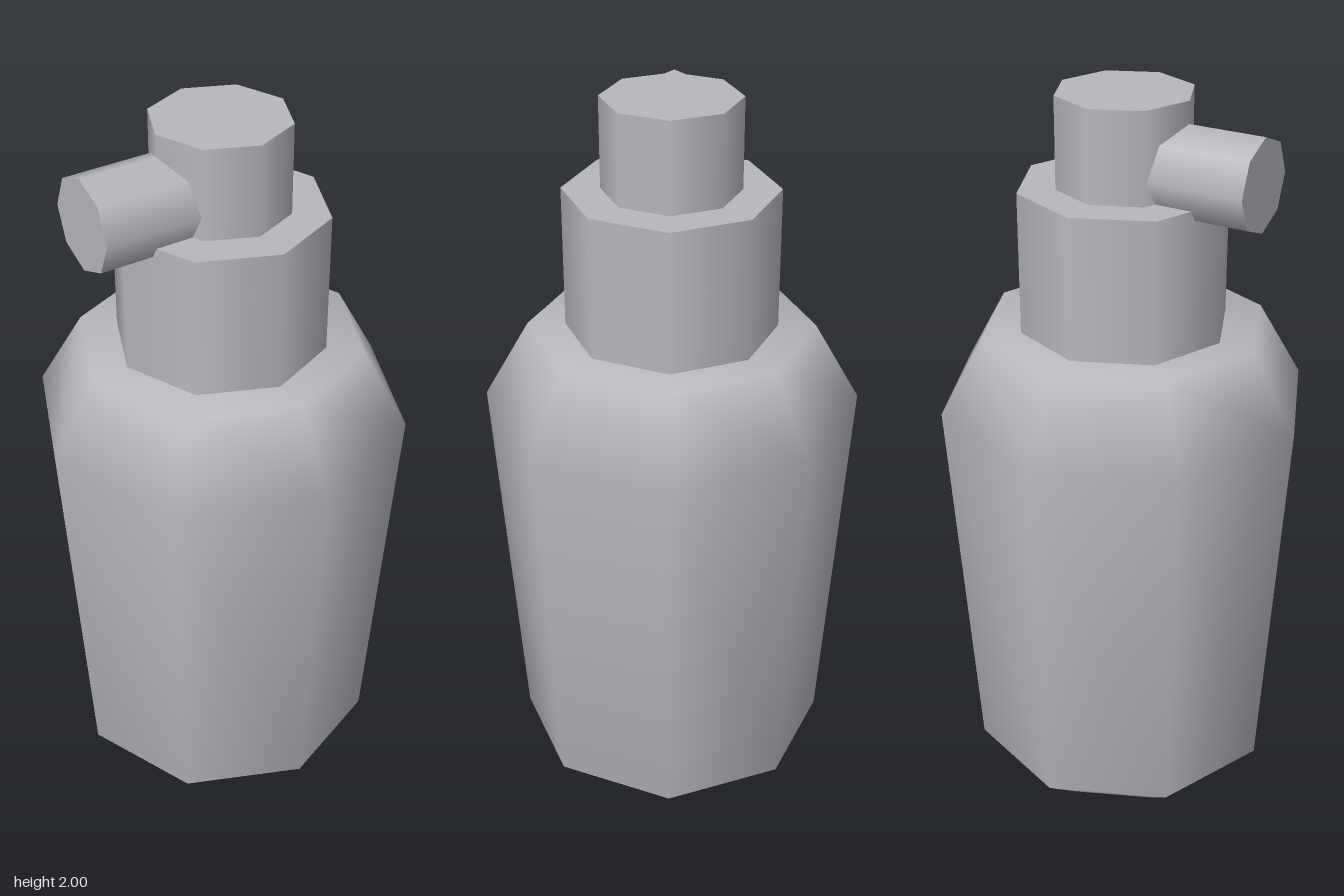
import * as THREE from 'three';

const SIDES = 8;

export function createModel() {
  const model = new THREE.Group();
  model.name = 'pumpBottle';
  const grey = new THREE.MeshStandardMaterial({ color: 0xb8b7bd });
  grey.name = 'warm grey';

  const add = (name, geometry, x, y) => {
    const mesh = new THREE.Mesh(geometry, grey);
    mesh.name = name;
    mesh.position.set(x, y, 0);
    model.add(mesh);
    return mesh;
  };

  // Upright or lying eight-sided cylinder with its length centred on the position
  const tube = (radius, length) => new THREE.CylinderGeometry(radius, radius, length, SIDES);

  // Body: smooth-shaded taper with chamfered base and sloping shoulder
  const profile = [[0, 0], [0.3, 0], [0.43, 0.11], [0.5, 1.17], [0.38, 1.38], [0, 1.38]]
    .map(([r, y]) => new THREE.Vector2(r, y));
  add('body', new THREE.LatheGeometry(profile, SIDES), 0, 0);

  // Collar and pump head stacked on the shoulder
  add('collar', tube(0.28, 0.38), 0, 1.57);
  add('pumpHead', tube(0.18, 0.24), 0, 1.88);

  // Spout pointing to the model's right, sunk into the pump head
  add('spout', tube(0.122, 0.335), -0.2175, 1.82).rotation.z = Math.PI / 2;

  return model;
}
